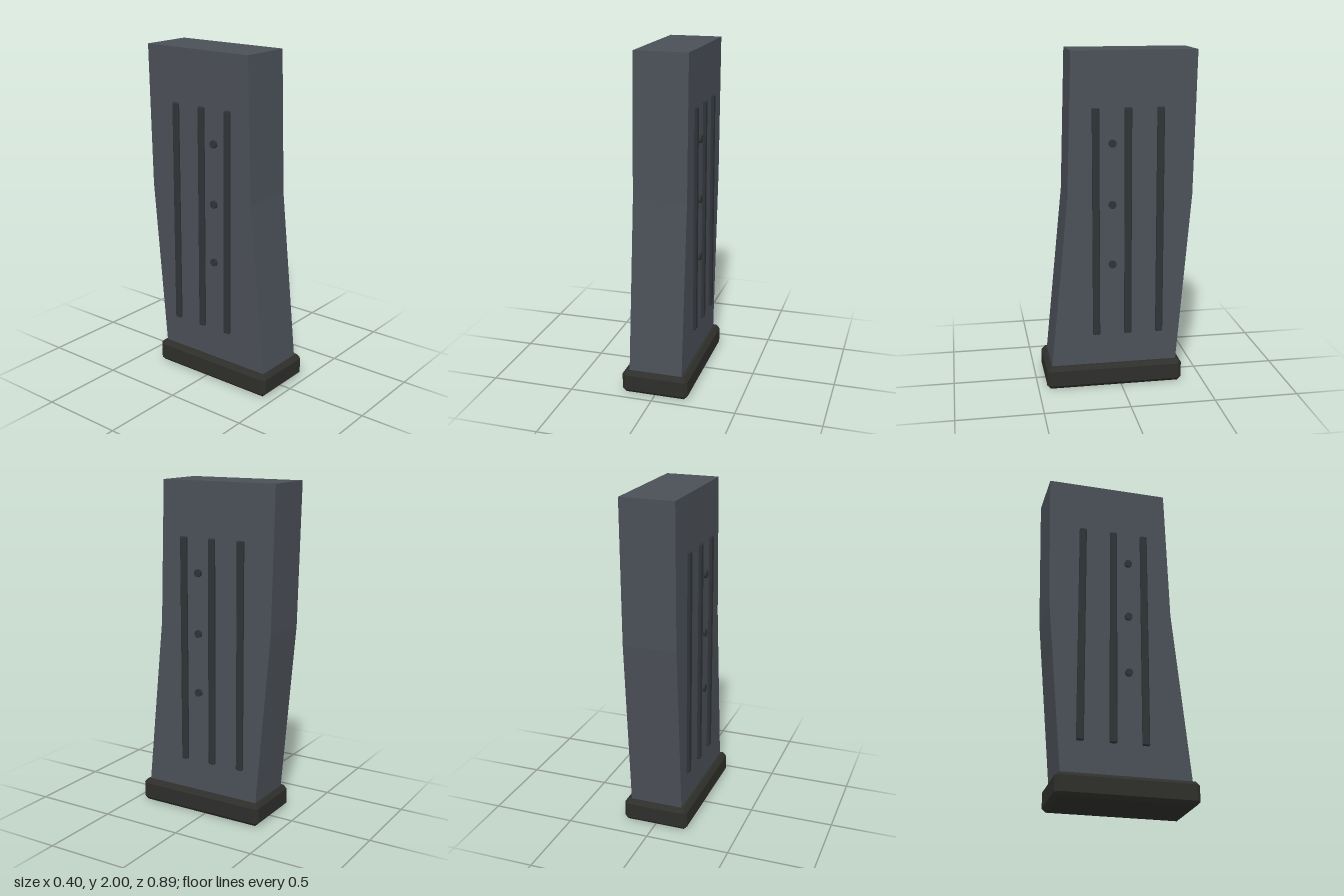
import * as THREE from 'three';
import { ConvexGeometry } from 'three/addons/geometries/ConvexGeometry.js';

const material = (color) => new THREE.MeshStandardMaterial({ color, flatShading: true });

// Box with every edge cut by a single flat chamfer b
function chamferBox(w, h, d, b) {
  const x = w / 2, y = h / 2, z = d / 2, points = [];
  for (const sx of [-1, 1]) for (const sy of [-1, 1]) for (const sz of [-1, 1]) {
    points.push(
      new THREE.Vector3(sx * x, sy * (y - b), sz * (z - b)),
      new THREE.Vector3(sx * (x - b), sy * y, sz * (z - b)),
      new THREE.Vector3(sx * (x - b), sy * (y - b), sz * z));
  }
  return new ConvexGeometry(points);
}

export function createModel() {
  const group = new THREE.Group();
  const bodyMat = material(0x4b5058), trimMat = material(0x2f3437), baseMat = material(0x2e2e2b);

  const add = (name, geometry, mat, x, y, z) => {
    const mesh = new THREE.Mesh(geometry, mat);
    mesh.name = name;
    mesh.position.set(x, y, z);
    group.add(mesh);
    return mesh;
  };

  // Bent body: side profile as [z, y], extruded across the width
  const halfWidth = 0.16;
  const profile = [[0.42, 0.09], [0.312, 1.16], [0.285, 2], [-0.445, 2], [-0.426, 1.16], [-0.335, 0.09]];
  const shape = new THREE.Shape(profile.map(([z, y]) => new THREE.Vector2(-z, y)));
  const bodyGeo = new THREE.ExtrudeGeometry(shape, { depth: 2 * halfWidth, bevelEnabled: false });
  bodyGeo.translate(0, 0, -halfWidth).rotateY(Math.PI / 2);
  add('body', bodyGeo, bodyMat, 0, 0, 0);

  // Chamfered base plate
  add('basePlate', chamferBox(0.4, 0.136, 0.82, 0.022), baseMat, 0, 0.068, 0.039);

  // Ribs and round studs on both sides
  const ribGeo = chamferBox(0.04, 1.356, 0.042, 0.005);
  const studGeo = new THREE.CylinderGeometry(0.023, 0.023, 0.036, 16).rotateZ(Math.PI / 2);
  for (const [side, sx] of [['left', 1], ['right', -1]]) {
    for (const z of [0.147, -0.042, -0.232]) {
      add(side + 'Rib', ribGeo, trimMat, sx * 0.157, 1.002, z);
    }
    for (const y of [0.757, 1.116, 1.475]) {
      add(side + 'Stud', studGeo, trimMat, sx * 0.157, y, 0.05);
    }
  }
  return group;
}
